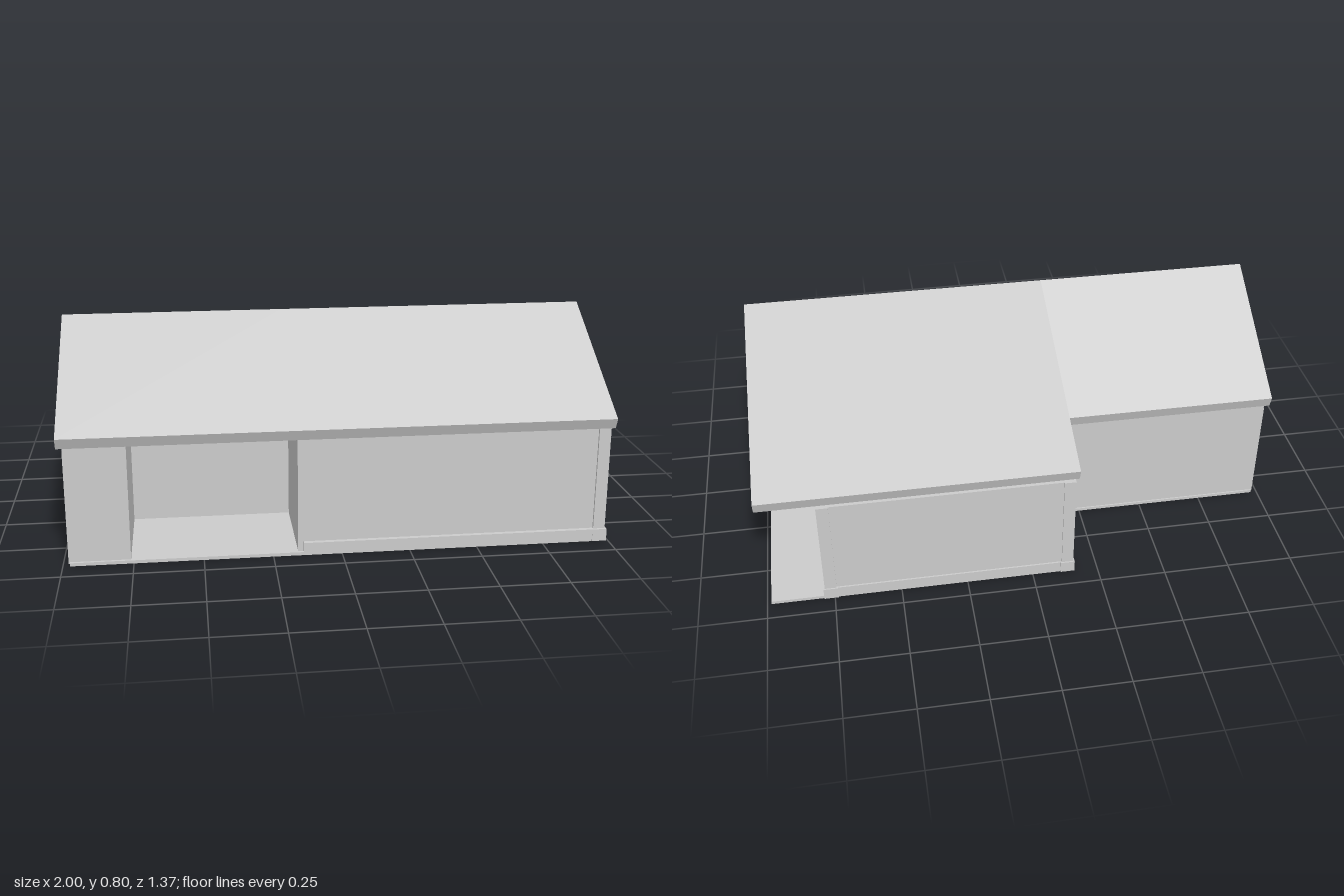
import * as THREE from 'three';

const material = new THREE.MeshStandardMaterial({ color: 0xcccccc, flatShading: true });
const toShape = (pts) => new THREE.Shape(pts.map(([a, b]) => new THREE.Vector2(a, b)));
const rect = (a0, b0, a1, b1) => [[a0, b0], [a1, b0], [a1, b1], [a0, b1]];

export function createModel() {
  const house = new THREE.Group();
  house.name = 'house';

  const add = (name, geometry) => {
    const mesh = new THREE.Mesh(geometry, material);
    mesh.name = name;
    house.add(mesh);
  };
  const box = (name, x0, x1, y0, y1, z0, z1) => {
    const g = new THREE.BoxGeometry(x1 - x0, y1 - y0, z1 - z0);
    add(name, g.translate((x0 + x1) / 2, (y0 + y1) / 2, (z0 + z1) / 2));
  };
  // Floor plan of [x, z] points raised from y0 to y1
  const plan = (name, pts, y0, y1) => {
    const g = new THREE.ExtrudeGeometry(toShape(pts), { depth: y1 - y0, bevelEnabled: false });
    add(name, g.rotateX(Math.PI / 2).translate(0, y1, 0));
  };
  // Side profile of [z, y] points swept from x0 to x1, with optional holes
  const profile = (name, pts, x0, x1, holes = []) => {
    const flip = (p) => p.map(([z, y]) => [-z, y]);
    const shape = toShape(flip(pts));
    shape.holes = holes.map((h) => toShape(flip(h)));
    const g = new THREE.ExtrudeGeometry(shape, { depth: x1 - x0, bevelEnabled: false });
    add(name, g.rotateY(Math.PI / 2).translate(x0, 0, 0));
  };

  // Ground slab
  plan('floorSlab', [[-0.975, 0.665], [0.985, 0.665], [0.985, -0.68], [-0.155, -0.68],
    [-0.155, -0.35], [-0.975, -0.35]], 0, 0.012);

  // Walls, with the front entry recess and the rear corner porch cut from the plan
  plan('walls', [[-0.925, 0.655], [-0.76, 0.655], [-0.76, 0.28], [-0.16, 0.28], [-0.16, 0.655],
    [0.98, 0.655], [0.98, 0.03], [0.77, 0.03], [0.77, -0.678], [-0.15, -0.678],
    [-0.15, -0.345], [-0.925, -0.345]], 0.012, 0.44);

  // Gables and roofs: the deep main part and the shallower garage wing
  const parts = [
    { name: 'main', eave: [-0.68, 0.485], under: [-0.665, 0.44], roof: [-0.17, 1], gable: [-0.15, 0.97] },
    { name: 'garage', eave: [-0.36, 0.485], under: [-0.345, 0.44], roof: [-1, -0.17], gable: [-0.97, -0.15] },
  ];
  for (const { name, eave, under, roof, gable } of parts) {
    profile(name + 'Roof', [[0.68, 0.48], [0.15, 0.8], eave, under, [0.15, 0.76], [0.663, 0.44]], ...roof);
    profile(name + 'Gable', [[0.663, 0.44], [0.15, 0.76], under], ...gable);
  }

  // Garage front with two door openings
  const doors = [[-0.28, 0.09], [0.22, 0.59]];
  const top = 0.37;
  profile('garageFront', rect(-0.345, 0.012, 0.655, 0.44), -0.97, -0.925,
    doors.map(([a, b]) => rect(a, 0.02, b, top)));
  for (const [a, b] of doors) {
    const mid = (a + b) / 2;
    // Door leaf with two window openings
    profile('garageDoor', rect(a, 0.012, b, top), -0.945, -0.924, [
      rect(a + 0.03, 0.26, mid - 0.025, 0.335), rect(mid + 0.025, 0.26, b - 0.03, 0.335)]);
    box('doorMiddlePost', -0.96, -0.94, 0.012, top, mid - 0.015, mid + 0.015);
    // Door surround
    for (const z of [a, b]) box('doorJamb', -0.982, -0.96, 0.005, top, z - 0.018, z + 0.018);
    box('doorHead', -0.982, -0.96, top, 0.41, a - 0.018, b + 0.018);
  }
  box('garageBandTrim', -0.978, -0.965, 0.425, 0.445, -0.345, 0.655);
  for (const z of [-0.33, 0.155, 0.64]) {
    box('garagePilaster', -0.98, -0.965, 0.005, 0.43, z - 0.015, z + 0.015);
  }

  // Baseboards
  const low = 0.01, high = 0.05;
  box('frontBaseboard', -0.14, 0.985, low, high, 0.65, 0.672);
  box('sideBaseboard', 0.975, 0.99, low, high, 0.02, 0.672);
  box('porchBaseboard', 0.765, 0.78, low, high, -0.68, 0.03);
  box('backBaseboard', -0.15, 0.78, low, high, -0.684, -0.67);

  // Corner boards, each on a wider foot: [x, z]
  for (const [x, z] of [[0.963, 0.643], [0.966, 0.032], [0.763, -0.663], [-0.133, -0.663]]) {
    box('cornerBoard', x - 0.022, x + 0.022, low, 0.44, z - 0.02, z + 0.02);
    box('cornerFoot', x - 0.027, x + 0.027, 0.004, high, z - 0.025, z + 0.03);
  }

  return house;
}
